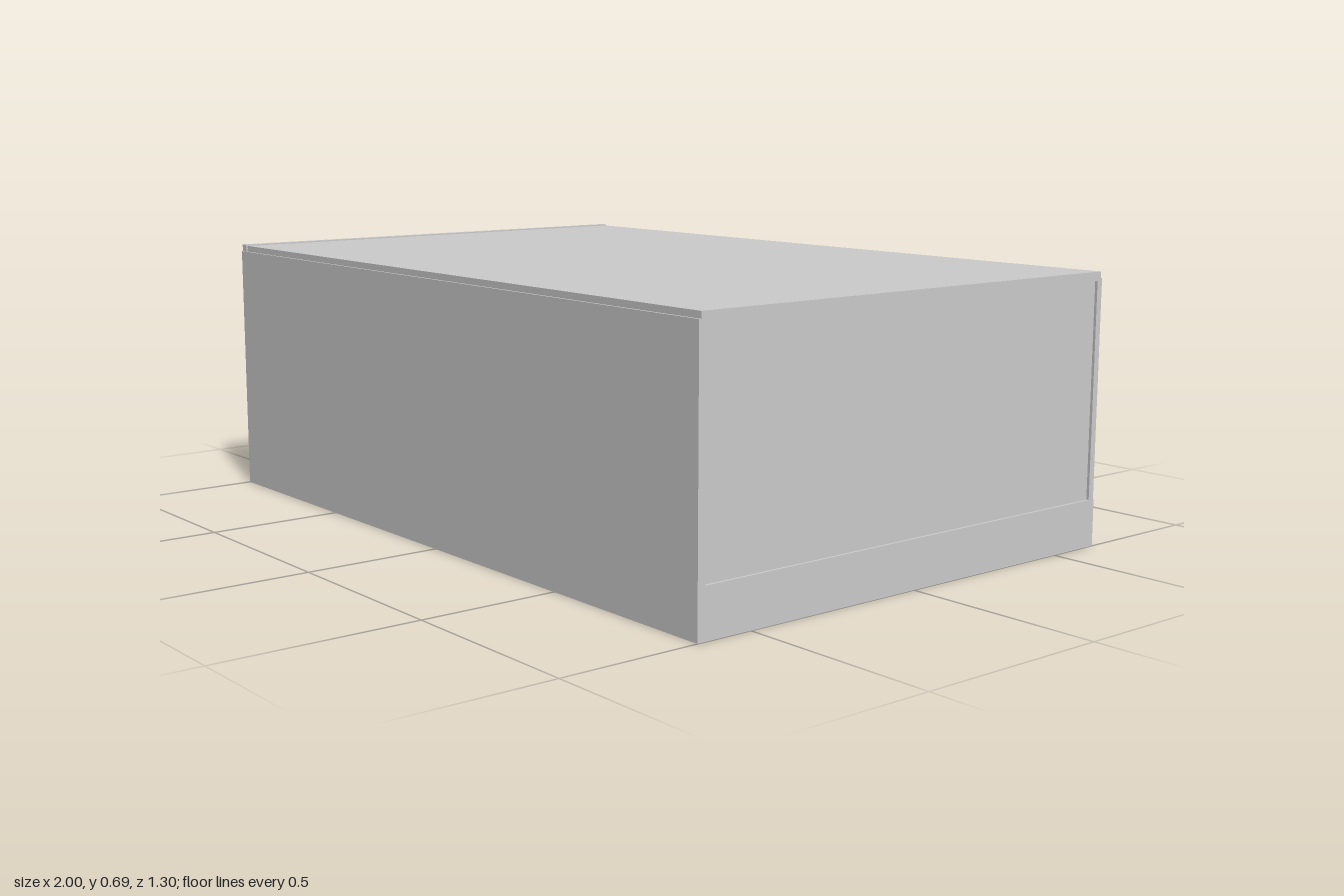
import * as THREE from 'three';

export function createModel() {
  const model = new THREE.Group();
  const material = new THREE.MeshStandardMaterial({ color: 0xcccccc, flatShading: true });

  const add = (name, geometry) => {
    const mesh = new THREE.Mesh(geometry, material);
    mesh.name = name;
    model.add(mesh);
    return mesh;
  };
  // Box given by its lower and upper corners
  const block = (name, [x0, y0, z0], [x1, y1, z1]) => {
    const mesh = add(name, new THREE.BoxGeometry(x1 - x0, y1 - y0, z1 - z0));
    mesh.position.set((x0 + x1) / 2, (y0 + y1) / 2, (z0 + z1) / 2);
  };

  const floor = 0.1, seam = 0.12, top = 0.672, depth = 0.648, wall = 0.02;

  // Base tray with its rim
  block('base', [-1, 0, -depth], [1, floor, depth]);
  block('rearRim', [-1, floor, -depth], [1, seam, -depth + wall]);
  block('endRim', [1 - wall, floor, -depth + wall], [1, seam, depth - wall]);

  // Plain walls; the end panel sits slightly inside the front and rear walls
  block('frontWall', [-1, floor, depth - wall], [1, top, depth]);
  block('closedEndWall', [-1, floor, -depth + wall], [-1 + wall, top, depth - wall]);
  block('endPanel', [1 - wall, seam, -depth + wall], [0.993, top, depth - wall]);

  // Rear wall with three rectangular openings
  const rear = new THREE.Shape([
    new THREE.Vector2(-1, seam), new THREE.Vector2(1, seam),
    new THREE.Vector2(1, top), new THREE.Vector2(-1, top),
  ]);
  for (const [x0, x1] of [[0.52, 0.77], [0.02, 0.35], [-0.445, -0.18]]) {
    rear.holes.push(new THREE.Path([
      new THREE.Vector2(x0, 0.265), new THREE.Vector2(x0, 0.465),
      new THREE.Vector2(x1, 0.465), new THREE.Vector2(x1, 0.265),
    ]));
  }
  const rearGeometry = new THREE.ExtrudeGeometry(rear, { depth: wall - 0.003, bevelEnabled: false });
  add('rearWall', rearGeometry).position.z = -depth + 0.003;

  // Lid with a raised lip at one end and ribs beneath
  block('lid', [-0.975, top - 0.006, -0.64], [1, 0.688, 0.642]);
  block('lidLip', [-1, top, -0.645], [-0.978, 0.691, 0.645]);
  block('lidGroove', [-0.978, top - 0.006, -0.64], [-0.975, 0.68, 0.642]);
  for (const x of [0.31, -0.22]) {
    block('lidRib', [x - 0.01, 0.605, -0.6], [x + 0.01, top - 0.006, 0.6]);
  }

  return model;
}
